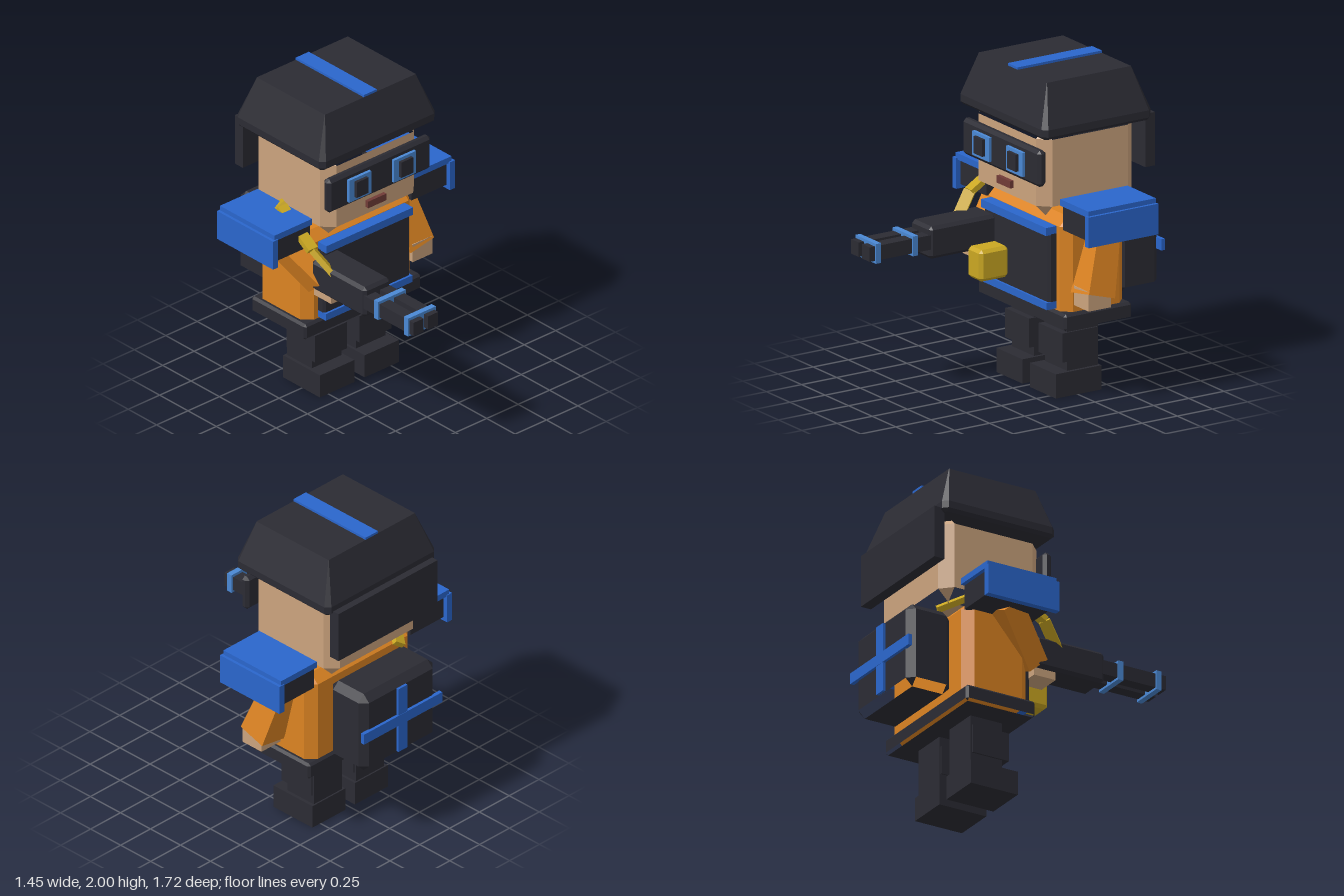
import * as THREE from 'three';

const mat = (name, color) => {
  const m = new THREE.MeshStandardMaterial({ color });
  m.name = name;
  return m;
};

// Eight points of a rectangle with cut corners, running from +z towards +x
function ring(y, hx, hz, c, cx = 0, cz = 0) {
  const p = [[hx - c, hz], [hx, hz - c], [hx, c - hz], [hx - c, -hz],
    [c - hx, -hz], [-hx, c - hz], [-hx, hz - c], [c - hx, hz]];
  return p.map(([x, z]) => new THREE.Vector3(x + cx, y, z + cz));
}

// Flat-faced skin over stacked rings; skip(layer, side) leaves a face out
function loft(rings, skip = () => false) {
  const pts = [];
  const tri = (a, b, c) => pts.push(a, b, c);
  for (let l = 0; l < rings.length - 1; l++) {
    const a = rings[l], b = rings[l + 1];
    for (let i = 0; i < 8; i++) {
      if (skip(l, i)) continue;
      const j = (i + 1) % 8;
      if (a[i].distanceTo(a[j]) > 1e-6) tri(a[i], a[j], b[j]);
      if (b[i].distanceTo(b[j]) > 1e-6) tri(a[i], b[j], b[i]);
    }
  }
  const bottom = rings[0], top = rings[rings.length - 1];
  for (let i = 1; i < 7; i++) {
    tri(top[0], top[i], top[i + 1]);
    tri(bottom[0], bottom[i + 1], bottom[i]);
  }
  const g = new THREE.BufferGeometry().setFromPoints(pts);
  g.computeVertexNormals();
  return g;
}

export function createModel() {
  const root = new THREE.Group();
  root.name = 'blockFigure';
  const dark = mat('charcoal', 0x2b2b33);
  const blue = mat('blue', 0x2a66cc);
  const light = mat('light blue', 0x4a88d4);
  const orange = mat('orange', 0xdb8322);
  const skin = mat('skin', 0xcba37d);
  const yellow = mat('yellow', 0xcaa722);
  const brown = mat('lip brown', 0x713c37);

  const add = (name, geo, m) => {
    const mesh = new THREE.Mesh(geo, m);
    mesh.name = name;
    root.add(mesh);
    return mesh;
  };
  // Plain box given by its limits
  const box = (name, m, x0, x1, y0, y1, z0, z1) => {
    const mesh = add(name, new THREE.BoxGeometry(x1 - x0, y1 - y0, z1 - z0), m);
    mesh.position.set((x0 + x1) / 2, (y0 + y1) / 2, (z0 + z1) / 2);
    return mesh;
  };
  // Bevelled box; the long bevels below (and above) can be left open
  const bevel = (name, m, x0, x1, y0, y1, z0, z1, b, openBottom = false, openTop = false) => {
    const hx = (x1 - x0) / 2, hz = (z1 - z0) / 2, cx = (x0 + x1) / 2, cz = (z0 + z1) / 2;
    const rings = [ring(y0, hx - b, hz - b, 0, cx, cz), ring(y0 + b, hx, hz, b, cx, cz),
      ring(y1 - b, hx, hz, b, cx, cz), ring(y1, hx - b, hz - b, 0, cx, cz)];
    return add(name, loft(rings, (l, i) => i % 2 === 1 &&
      ((l === 0 && openBottom) || (l === 2 && openTop))), m);
  };
  // Square bar between two points, wide and thick at each end
  const limb = (name, m, a, b, w0, d0, w1, d1) => {
    const from = new THREE.Vector3(...a), to = new THREE.Vector3(...b);
    const len = from.distanceTo(to);
    const mesh = add(name, loft([ring(-len / 2, w1 / 2, d1 / 2, 0), ring(len / 2, w0 / 2, d0 / 2, 0)]), m);
    mesh.position.copy(from).add(to).multiplyScalar(0.5);
    mesh.quaternion.setFromUnitVectors(new THREE.Vector3(0, 1, 0), from.sub(to).normalize());
    return mesh;
  };

  // Head and face
  bevel('head', skin, -0.375, 0.375, 1.145, 1.70, -0.64, 0.04, 0.07, true, true);
  bevel('goggleBand', dark, -0.41, 0.41, 1.36, 1.585, 0.03, 0.09, 0.02);
  for (const s of [-1, 1]) {
    const x = s * 0.178;
    box('goggleFrame', light, x - 0.088, x + 0.088, 1.395, 1.545, 0.085, 0.11);
    box('goggleLens', dark, x - 0.047, x + 0.047, 1.42, 1.525, 0.1, 0.13);
  }
  box('mouth', brown, -0.075, 0.07, 1.265, 1.31, 0.03, 0.065);

  // Helmet with crest stripe and neck flap
  add('helmet', loft([ring(1.66, 0.44, 0.365, 0.01, 0, -0.303), ring(1.68, 0.46, 0.388, 0.03, 0, -0.303),
    ring(1.725, 0.46, 0.388, 0.03, 0, -0.303), ring(1.985, 0.362, 0.3, 0.002, 0, -0.3)]), dark);
  box('helmetStripe', blue, -0.052, 0.052, 1.975, 2.0, -0.6, 0.0);
  box('neckFlap', dark, -0.415, 0.415, 1.36, 1.69, -0.735, -0.665);

  // Torso, chest plate and belt
  bevel('torso', orange, -0.435, 0.435, 0.5, 1.14, -0.525, -0.08, 0.058);
  bevel('chestPlate', dark, -0.345, 0.345, 0.6, 1.05, -0.12, -0.025, 0.015);
  box('chestTrimTop', blue, -0.345, 0.345, 1.03, 1.08, -0.1, -0.005);
  box('chestTrimBottom', blue, -0.345, 0.345, 0.57, 0.615, -0.1, -0.01);
  bevel('belt', dark, -0.465, 0.465, 0.455, 0.56, -0.54, -0.06, 0.015, true);
  bevel('pouch', yellow, -0.228, -0.08, 0.66, 0.855, -0.03, 0.175, 0.02);

  // Legs, boots and shoulder guards, mirrored
  for (const s of [-1, 1]) {
    const side = (name, m, a, b, ...r) => box(name, m, Math.min(s * a, s * b), Math.max(s * a, s * b), ...r);
    side('leg', dark, 0.058, 0.294, 0.1, 0.45, -0.41, -0.19);
    side('kneePad', dark, 0.05, 0.305, 0.21, 0.39, -0.4, -0.15);
    side('boot', dark, 0.04, 0.316, 0, 0.15, -0.42, -0.095);
    side('shoulderPad', dark, 0.405, 0.69, 1.07, 1.23, -0.52, -0.085);
    side('shoulderTop', blue, 0.405, 0.705, 1.225, 1.265, -0.545, -0.065);
    side('shoulderPlate', blue, 0.683, 0.724, 1.045, 1.235, -0.55, -0.055);
  }

  // Arms and hands
  limb('leftArm', orange, [0.45, 1.12, -0.345], [0.53, 0.675, -0.215], 0.16, 0.15, 0.19, 0.19);
  box('leftHand', skin, 0.455, 0.612, 0.61, 0.73, -0.29, -0.13);
  limb('rightArm', orange, [-0.5, 1.12, -0.3], [-0.36, 0.84, -0.03], 0.17, 0.15, 0.15, 0.15);
  box('rightHand', skin, -0.41, -0.25, 0.76, 0.86, -0.04, 0.11);

  // Twin-barrelled blaster with clamps
  bevel('blasterBody', dark, -0.438, -0.225, 0.81, 1.01, -0.04, 0.435, 0.02);
  box('barrel', dark, -0.432, -0.352, 0.87, 0.96, 0.4, 0.86);
  box('barrel', dark, -0.315, -0.235, 0.87, 0.96, 0.4, 0.86);
  for (const z of [0.524, 0.788]) box('barrelClamp', light, -0.442, -0.222, 0.855, 0.978, z, z + 0.036);

  // Sling running from blaster over the shoulder to the pack
  const sling = [[-0.40, 0.96, 0.13], [-0.46, 1.1, 0.0], [-0.455, 1.275, -0.28], [-0.23, 1.12, -0.6]];
  for (let i = 0; i < 3; i++) limb('sling', yellow, sling[i], sling[i + 1], 0.07, 0.035, 0.07, 0.035);

  // Backpack with cross straps
  bevel('backpack', dark, -0.312, 0.312, 0.555, 1.09, -0.843, -0.543, 0.045, true);
  box('packStrapUpright', blue, -0.038, 0.038, 0.605, 1.045, -0.86, -0.835);
  box('packStrapAcross', blue, -0.328, 0.328, 0.79, 0.86, -0.862, -0.837);

  return root;
}
